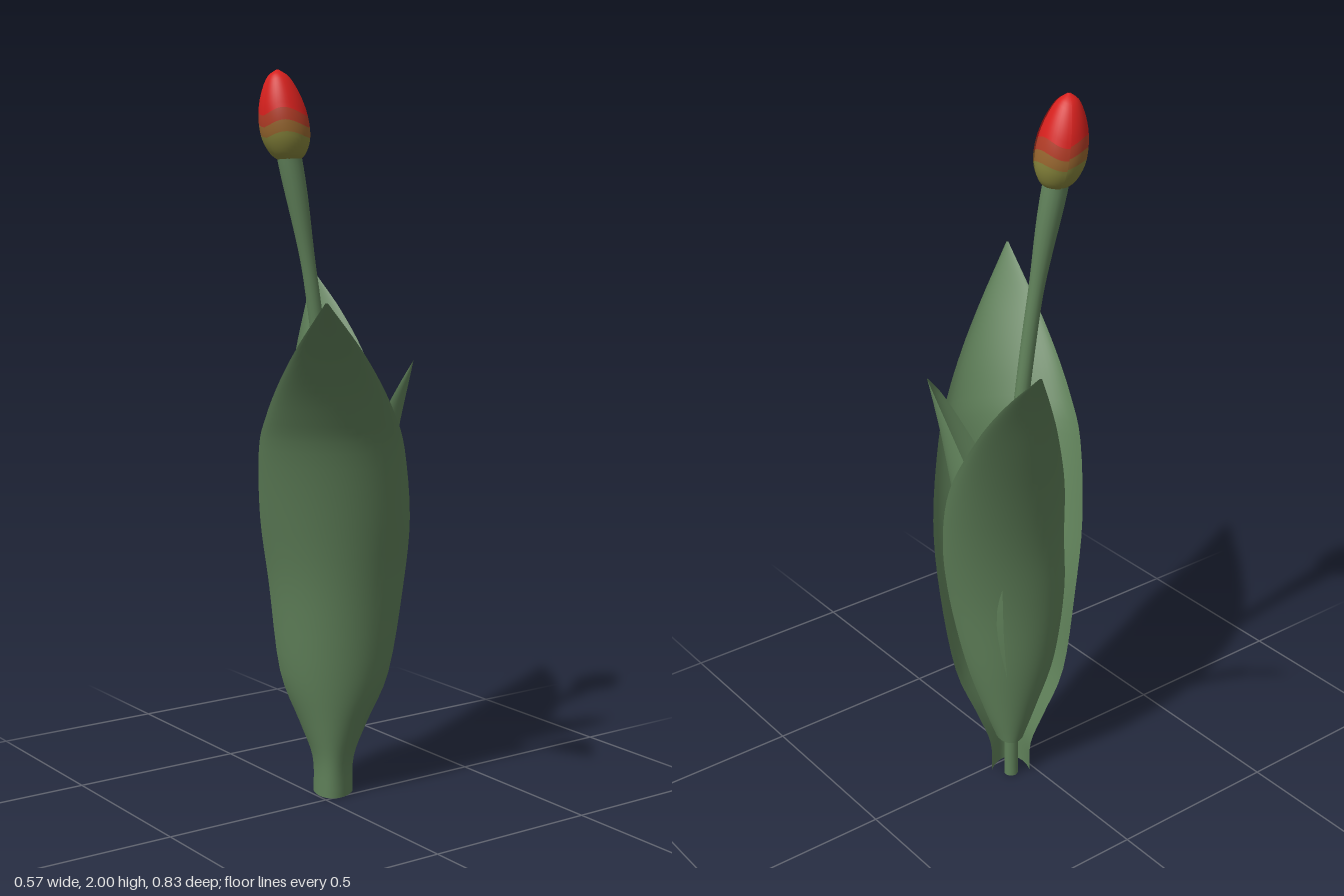
import * as THREE from 'three';

const mat = (name, color) => {
  const m = new THREE.MeshStandardMaterial({ color, side: THREE.DoubleSide });
  m.name = name;
  return m;
};

// Smooth surface from f(u, v), with u and v running 0..1
function surface(f, nu, nv) {
  const pos = [], index = [];
  for (let i = 0; i <= nu; i++)
    for (let j = 0; j <= nv; j++) pos.push(...f(i / nu, j / nv));
  for (let i = 0; i < nu; i++)
    for (let j = 0; j < nv; j++) {
      const a = i * (nv + 1) + j, b = a + nv + 1;
      index.push(a, b, a + 1, b, b + 1, a + 1);
    }
  const g = new THREE.BufferGeometry();
  g.setAttribute('position', new THREE.Float32BufferAttribute(pos, 3));
  g.setIndex(index);
  g.computeVertexNormals();
  return g;
}

const spline = pts => new THREE.CatmullRomCurve3(pts.map(p => new THREE.Vector3(...p)), false, 'catmullrom', 0.5);

const AXIS = [0.06, -0.05]; // x, z of the plant's base

// Cupped leaf: rows hold height, midrib distance, half width, cup depth, sideways shift
function leafGeometry(dx, dz, rows) {
  const len = Math.hypot(dx, dz);
  dx /= len; dz /= len;
  const rib = spline(rows.map(r => [r[1], r[0], r[2]]));
  const cup = spline(rows.map(r => [r[3], r[4] || 0, 0]));
  const A = 1.2;
  return surface((u, v) => {
    const m = rib.getPoint(u), c = cup.getPoint(u);
    const phi = (v * 2 - 1) * A;
    const s = m.z * Math.sin(phi) / Math.sin(A) + c.y;
    const q = m.x - c.x * (1 - Math.cos(phi)) / (1 - Math.cos(A));
    return [AXIS[0] + dx * q - dz * s, m.y, AXIS[1] + dz * q + dx * s];
  }, 40, 20);
}

export function createModel() {
  const model = new THREE.Group();
  model.name = 'flower';
  const green = mat('leaf green', 0x5f8059);
  const red = mat('petal red', 0xd6201d);
  const rust = mat('petal rust', 0xb23c26);
  const ochre = mat('petal ochre', 0x96652e);
  const olive = mat('petal olive', 0x84823a);

  const add = (name, geometry, material, parent = model) => {
    const mesh = new THREE.Mesh(geometry, material);
    mesh.name = name;
    parent.add(mesh);
  };

  // Leaves
  add('frontLeaf', leafGeometry(-0.6, 0.8, [
    [0, 0.064, 0.055, 0.066], [0.1, 0.068, 0.058, 0.074], [0.2, 0.083, 0.094, 0.09],
    [0.35, 0.106, 0.152, 0.108, -0.003], [0.6, 0.138, 0.187, 0.137, -0.008],
    [0.8, 0.181, 0.205, 0.126, -0.006], [1, 0.237, 0.195, 0.092], [1.1, 0.286, 0.17, 0.062],
    [1.2, 0.352, 0.13, 0.036], [1.3, 0.438, 0.078, 0.018], [1.42, 0.575, 0.003, 0],
  ]), green);
  add('backLeaf', leafGeometry(0.5, -0.866, [
    [0.12, 0.036, 0.04, 0.045], [0.22, 0.05, 0.075, 0.055], [0.38, 0.068, 0.125, 0.073],
    [0.6, 0.085, 0.16, 0.08, 0.01], [0.8, 0.12, 0.165, 0.075, 0.024],
    [1, 0.182, 0.152, 0.06, 0.024], [1.2, 0.268, 0.104, 0.022, 0.014],
    [1.33, 0.338, 0.056, 0.008, 0], [1.44, 0.413, 0.003, 0, -0.019],
  ]), green);
  add('innerLeaf', leafGeometry(0.7, 0.72, [
    [0.1, 0.018, 0.036, 0.02, 0.02], [0.25, 0.038, 0.06, 0.042, 0.012], [0.5, 0.09, 0.092, 0.085, 0.004],
    [0.7, 0.122, 0.1, 0.112], [0.85, 0.148, 0.096, 0.108, 0.008],
    [0.95, 0.167, 0.085, 0.088, 0.015], [1.07, 0.19, 0.06, 0.05, 0.026],
    [1.17, 0.212, 0.032, 0.02, 0.03], [1.23, 0.224, 0.003, 0, 0.022],
  ]), green);

  // Stem, flaring under the bud
  const stemPath = spline([
    [0.065, 0, -0.058], [0.065, 0.45, -0.062], [0.055, 0.9, -0.064], [0.043, 1.12, -0.066],
    [0.005, 1.4, -0.068], [-0.028, 1.6, -0.075], [-0.06, 1.775, -0.085]]);
  add('stem', surface((u, v) => {
    const p = stemPath.getPoint(u), a = v * Math.PI * 2;
    const r = 0.02 + 0.014 * THREE.MathUtils.smoothstep(p.y, 1.45, 1.77);
    return [p.x + r * Math.cos(a), p.y, p.z - r * Math.sin(a)];
  }, 40, 16), green);

  // Bud: three overlapping petals, each split into wavy colour bands
  const profile = spline([
    [0.024, 0, 0], [0.047, 0.02, 0], [0.063, 0.055, 0], [0.067, 0.095, 0], [0.062, 0.14, 0],
    [0.048, 0.185, 0], [0.028, 0.222, 0], [0.003, 0.24, 0]]);
  const bands = [
    ['Base', olive, 0, 0.34], ['LowerBand', ochre, 0.34, 0.44],
    ['UpperBand', rust, 0.44, 0.54], ['Tip', red, 0.54, 1]];
  const bud = new THREE.Group();
  bud.name = 'bud';
  model.add(bud);
  const wave = (t, v) => t + 0.035 * Math.cos((v - 0.5) * Math.PI * 2) * Math.sin(t * Math.PI);
  for (let k = 0; k < 3; k++)
    for (const [label, material, t0, t1] of bands)
      add('petal' + (k + 1) + label, surface((u, v) => {
        const p = profile.getPoint(wave(t0 + (t1 - t0) * u, v));
        const a = (k + v * 1.14 - 0.57) * Math.PI * 2 / 3;
        const r = p.x * (0.95 + 0.09 * v);
        const h = p.y / 0.24;
        return [-0.06 - 0.03 * h + r * Math.cos(a), 1.76 + p.y, -0.085 - 0.01 * h - r * Math.sin(a)];
      }, 10, 16), material, bud);
  return model;
}
